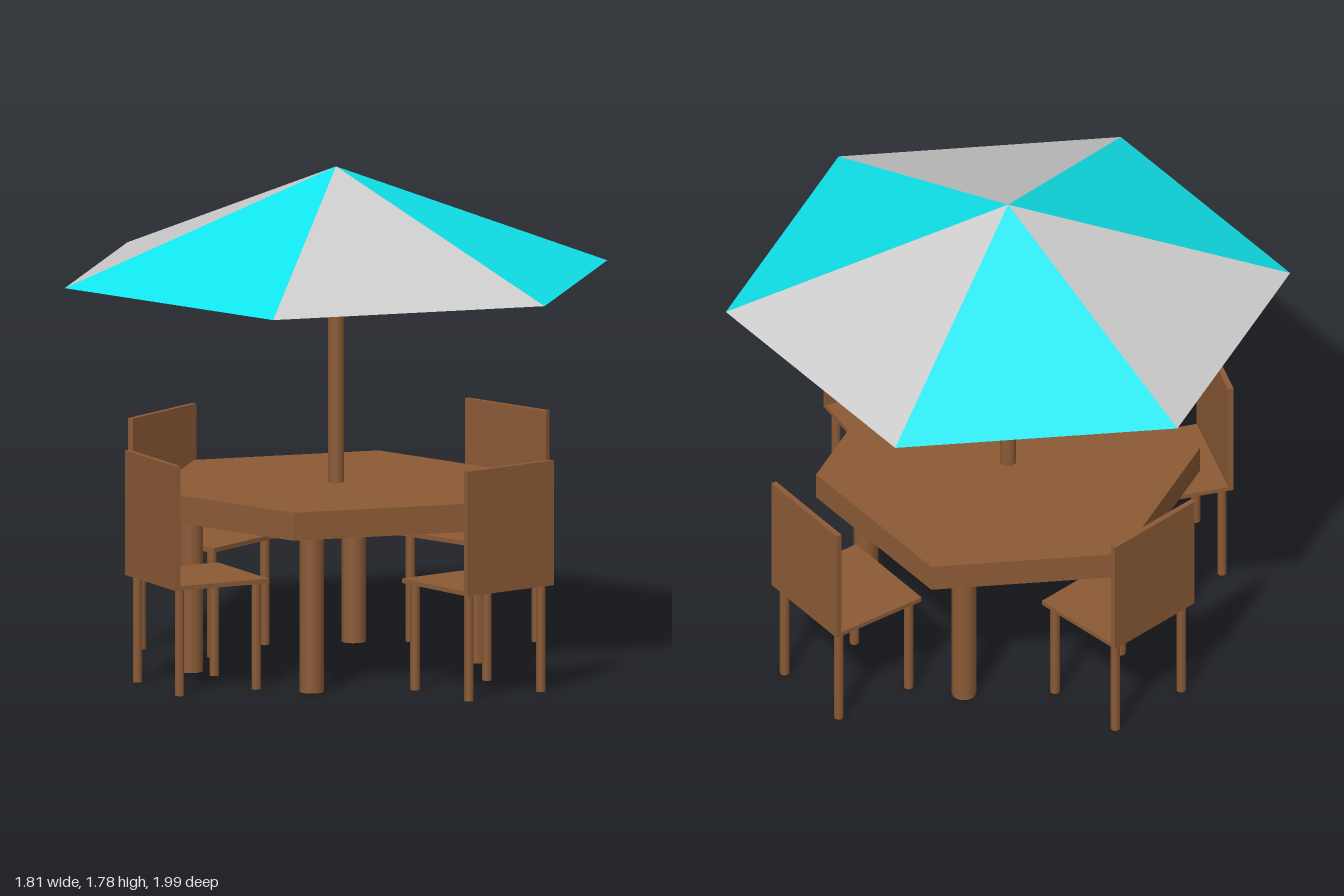
import * as THREE from 'three';

const wood = new THREE.MeshStandardMaterial({ color: 0x8b5a35 });
const woodSheet = new THREE.MeshStandardMaterial({ color: 0x8b5a35, flatShading: true, side: THREE.DoubleSide });
const greyCloth = new THREE.MeshStandardMaterial({ color: 0xcccccc, flatShading: true, side: THREE.DoubleSide });
const cyanCloth = new THREE.MeshStandardMaterial({ color: 0x10e4ec, flatShading: true, side: THREE.DoubleSide });

const TURN = -0.09; // shared twist of the hexagonal table and canopy

function add(parent, name, geometry, material, x = 0, y = 0, z = 0) {
  const mesh = new THREE.Mesh(geometry, material);
  mesh.name = name;
  mesh.position.set(x, y, z);
  parent.add(mesh);
  return mesh;
}

// Upright round post between two heights
function post(parent, name, radius, y0, y1, x = 0, z = 0, sides = 10) {
  const geometry = new THREE.CylinderGeometry(radius, radius, y1 - y0, sides);
  return add(parent, name, geometry, wood, x, (y0 + y1) / 2, z);
}

// Chair whose back panel lies on local z = 0, with the seat reaching toward -z
function createChair() {
  const chair = new THREE.Group();
  chair.name = 'chair';
  const width = 0.39, depth = 0.37, inset = 0.033;
  add(chair, 'seat', new THREE.BoxGeometry(width, 0.016, depth), wood, 0, 0.388, -depth / 2);
  add(chair, 'chairBack', new THREE.BoxGeometry(width, 0.445, 0.02), wood, 0, 0.6025, -0.01);
  for (const side of [-1, 1]) {
    for (const z of [-inset, inset - depth]) {
      post(chair, 'chairLeg', 0.017, 0, 0.382, side * (width / 2 - inset), z, 8);
    }
  }
  return chair;
}

// Hexagonal table, hollow underneath
function createTable() {
  const table = new THREE.Group();
  table.name = 'table';
  const radius = 0.68, top = 0.655, rim = 0.1;
  const side = new THREE.CylinderGeometry(radius, radius, rim, 6, 1, true, TURN);
  add(table, 'tableRim', side, woodSheet, 0, top - rim / 2, 0);
  const disc = new THREE.CircleGeometry(radius, 6, -Math.PI / 2 + TURN).rotateX(-Math.PI / 2);
  add(table, 'tableTop', disc, woodSheet, 0, top, 0);
  for (const [x, z] of [[-0.01, 0.57], [0.48, -0.14], [-0.005, -0.51], [-0.49, 0.195]]) {
    post(table, 'tableLeg', 0.044, 0, 0.645, x, z);
  }
  return table;
}

// Parasol: pole and six flat cloth panels in alternating colours
function createParasol() {
  const parasol = new THREE.Group();
  parasol.name = 'parasol';
  post(parasol, 'pole', 0.029, 0.6, 1.72, 0, 0, 12);
  const height = 0.385;
  for (let i = 0; i < 6; i++) {
    const panel = new THREE.ConeGeometry(1, height, 1, 1, true, TURN + i * Math.PI / 3, Math.PI / 3);
    add(parasol, 'canopyPanel', panel, i % 2 ? cyanCloth : greyCloth, 0, 1.395 + height / 2, 0);
  }
  return parasol;
}

export function createModel() {
  const model = new THREE.Group();
  model.name = 'patioSet';
  model.add(createTable(), createParasol());

  // Chairs: middle of the back panel (x, z) and its outward direction (x, z)
  const places = [
    [0.52, -0.715, 0.58, -0.81],
    [0.70, 0.597, 0.72, 0.69],
    [-0.58, 0.60, -0.82, 0.57],
    [-0.68, -0.412, -0.885, -0.46],
  ];
  for (const [x, z, outX, outZ] of places) {
    const chair = createChair();
    chair.position.set(x, 0, z);
    chair.rotation.y = Math.atan2(outX, outZ);
    model.add(chair);
  }
  return model;
}
